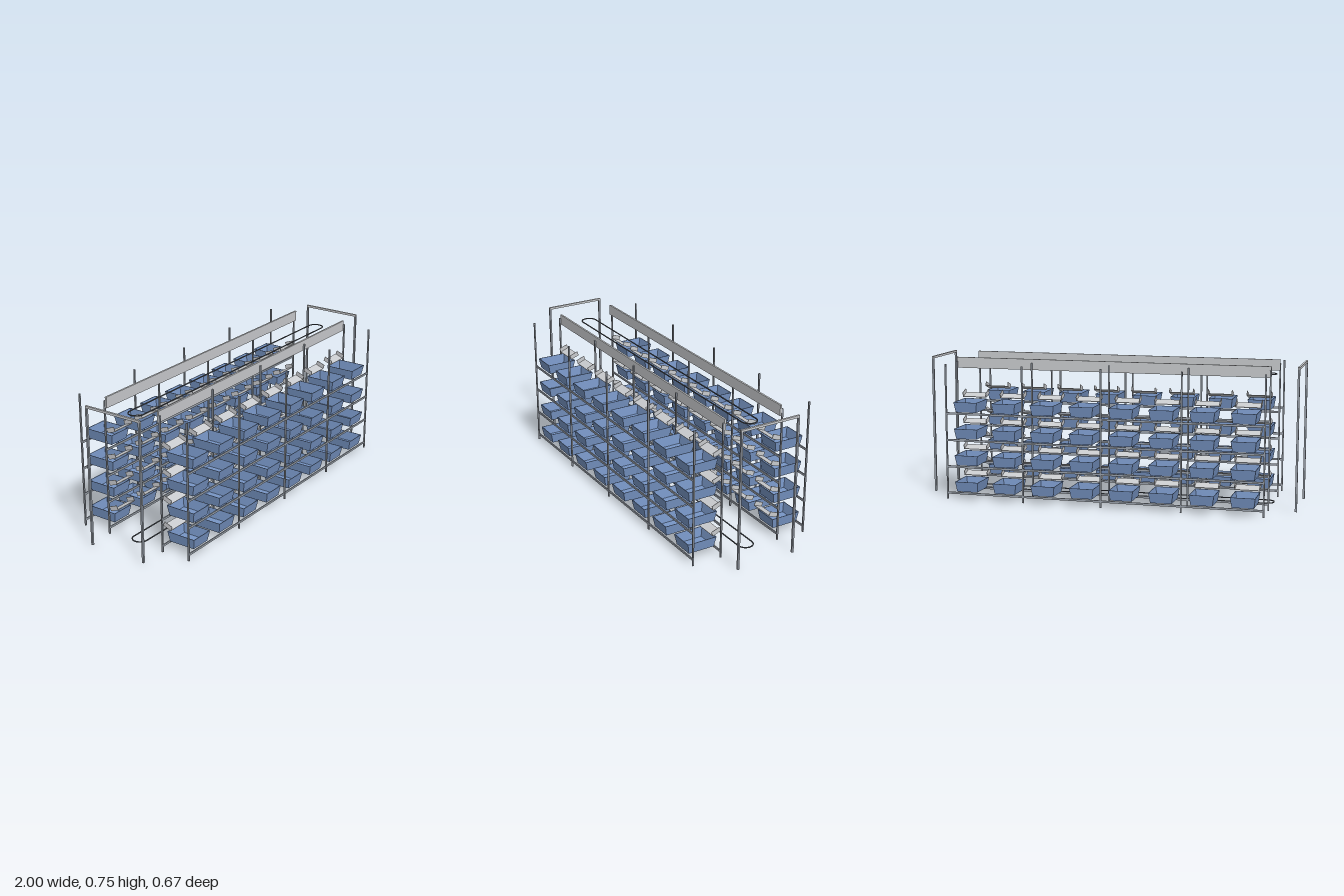
import * as THREE from 'three';

const mat = (name, color) => {
  const m = new THREE.MeshStandardMaterial({ color });
  m.name = name;
  return m;
};

export function createModel() {
  const steel = mat('steel grey', 0x9aa1ab);
  const light = mat('light grey', 0xc9cbce);
  const blue = mat('bin blue', 0x7896c6);
  const dark = mat('dark track', 0x565c64);

  const model = new THREE.Group();
  model.name = 'sortingRack';

  const add = (parent, name, geometry, material, x = 0, y = 0, z = 0) => {
    const mesh = new THREE.Mesh(geometry, material);
    mesh.name = name;
    mesh.position.set(x, y, z);
    parent.add(mesh);
    return mesh;
  };
  const box = (w, h, d) => new THREE.BoxGeometry(w, h, d);

  // Open tapered bin: a four-sided lathe turned square and scaled to a rectangle
  const profile = [[0, 0], [0.0726, 0], [0.083, 0.055], [0.0795, 0.055], [0.0695, 0.003], [0, 0.003]]
    .map(([r, y]) => new THREE.Vector2(r * Math.SQRT2, y));
  const binGeometry = new THREE.LatheGeometry(profile, 4, Math.PI / 4).toNonIndexed();
  binGeometry.scale(0.785, 1, 1);
  binGeometry.computeVertexNormals();

  // Tilted chute: a floor between two side plates
  const chuteFloor = box(0.13, 0.003, 0.05);
  const chuteSide = box(0.003, 0.025, 0.05);
  const addChute = (parent, x, y, z) => {
    const chute = new THREE.Group();
    chute.name = 'chute';
    chute.position.set(x, y, z);
    chute.rotation.x = THREE.MathUtils.degToRad(21);
    add(chute, 'chuteFloor', chuteFloor, light, 0, -0.011, 0);
    for (const s of [-1, 1]) add(chute, 'chuteSide', chuteSide, light, s * 0.0655, 0, 0);
    parent.add(chute);
  };

  const innerZ = 0.171, outerZ = 0.3326, levels = [0.04, 0.1837, 0.3273, 0.471];
  const postGeometry = box(0.008, 0.727, 0.008);
  const railGeometry = box(1.71, 0.011, 0.006);

  // One rack on each side of the aisle
  for (const side of ['front', 'back']) {
    const rack = new THREE.Group();
    rack.name = side + 'Rack';
    if (side === 'back') rack.rotation.y = Math.PI;
    model.add(rack);

    for (const z of [innerZ, outerZ]) {
      for (let i = -2; i <= 2; i++) add(rack, 'post', postGeometry, steel, i * 0.4265, 0.3635, z);
      for (const y of levels) add(rack, 'rail', railGeometry, steel, 0, y - 0.0065, z);
    }
    for (const y of levels) {
      for (let i = 0; i < 8; i++) {
        const x = (i - 3.5) * 0.213;
        add(rack, 'bin', binGeometry, blue, x, y, 0.252);
        addChute(rack, x, y + 0.085, 0.173);
      }
    }
    // Long panel along the top of the aisle
    add(rack, 'topPanel', box(1.71, 0.058, 0.01), light, 0, 0.719, 0.1615);
  }

  // Rounded loop tracks at the top and bottom of the aisle
  const stadium = (target, r) => {
    target.absarc(0.8175, 0, r, -Math.PI / 2, Math.PI / 2, false);
    target.absarc(-0.8175, 0, r, Math.PI / 2, Math.PI * 1.5, false);
    target.closePath();
    return target;
  };
  const loop = stadium(new THREE.Shape(), 0.0435);
  loop.holes.push(stadium(new THREE.Path(), 0.0385));
  const trackGeometry = new THREE.ExtrudeGeometry(loop, { depth: 0.005, bevelEnabled: false, curveSegments: 16 });
  trackGeometry.rotateX(-Math.PI / 2);
  add(model, 'lowerTrack', trackGeometry, dark, 0, 0.007, 0);
  add(model, 'upperTrack', trackGeometry, dark, 0, 0.688, 0);

  // Portal frames at both ends
  for (const s of [-1, 1]) {
    const portal = new THREE.Group();
    portal.name = s > 0 ? 'leftPortal' : 'rightPortal';
    portal.position.x = s * 0.9945;
    for (const z of [-0.1625, 0.1625]) add(portal, 'portalPost', box(0.011, 0.736, 0.01), steel, 0, 0.368, z);
    add(portal, 'portalBeam', box(0.011, 0.012, 0.335), light, 0, 0.742, 0);
    model.add(portal);
  }

  return model;
}
